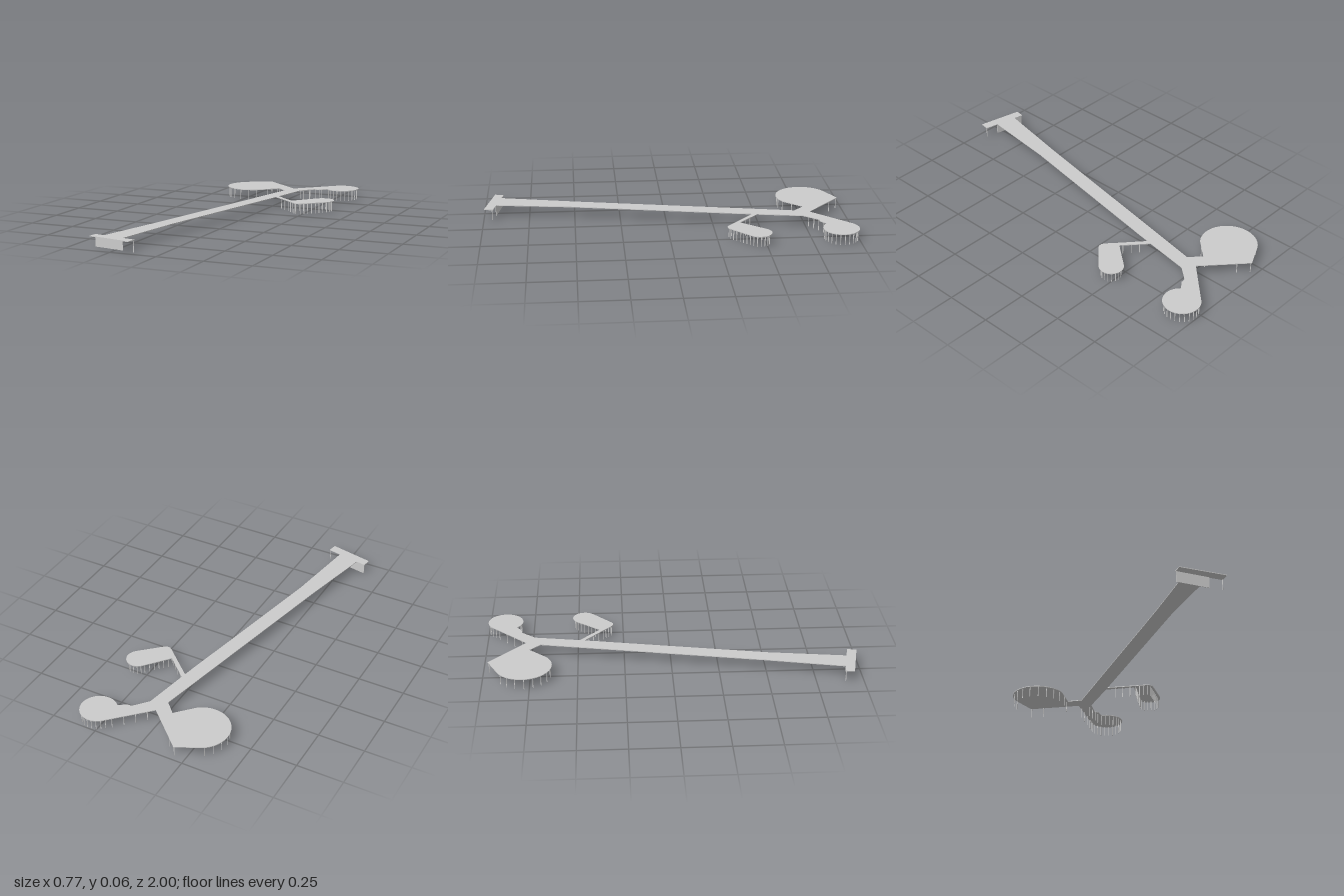
import * as THREE from 'three';

const TOP = 0.062, THICK = 0.004, UNDER = TOP - THICK;
const mat = new THREE.MeshStandardMaterial({ color: 0xcccccc, flatShading: true });

// Points [x, z] on an arc; angles in degrees, measured from +x towards +z
function arc(cx, cz, r, from, to, n) {
  return Array.from({ length: n + 1 }, (_, i) => {
    const a = THREE.MathUtils.degToRad(from + (to - from) * i / n);
    return [cx + r * Math.cos(a), cz + r * Math.sin(a)];
  });
}

// Points [x, z] evenly spaced on a line
function row(a, b, n) {
  return Array.from({ length: n }, (_, i) => {
    const t = n > 1 ? i / (n - 1) : 0.5;
    return [a[0] + (b[0] - a[0]) * t, a[1] + (b[1] - a[1]) * t];
  });
}

// Thin horizontal deck from a plan outline
function deck(name, outline) {
  const shape = new THREE.Shape(outline.map(([x, z]) => new THREE.Vector2(x, -z)));
  const geo = new THREE.ExtrudeGeometry(shape, { depth: THICK, bevelEnabled: false });
  geo.rotateX(-Math.PI / 2).translate(0, UNDER, 0);
  const mesh = new THREE.Mesh(geo, mat);
  mesh.name = name;
  return mesh;
}

// Slender piles from the ground to the underside of the deck
function piles(name, points) {
  const group = new THREE.Group();
  group.name = name;
  const geo = new THREE.CylinderGeometry(0.0022, 0.0022, UNDER, 6);
  for (const [x, z] of points) {
    const pile = new THREE.Mesh(geo, mat);
    pile.name = 'pile';
    pile.position.set(x, UNDER / 2, z);
    group.add(pile);
  }
  return group;
}

export function createModel() {
  const model = new THREE.Group();
  model.name = 'pier';

  // Long walkway, widening towards the landing
  model.add(deck('mainWalkway', [
    [0, -0.70], [0.025, -0.78], [0.085, -0.735], [0.042, -0.49], [0.036, -0.46],
    [0.025, -0.40], [-0.155, 0.52], [-0.213, 0.935], [-0.33, 0.911], [-0.24, 0.50],
  ]));

  // Landing crosspiece with its support wall and a single pile
  model.add(deck('landing', [[-0.383, 0.898], [-0.14, 0.948], [-0.149, 0.998], [-0.39, 0.947]]));
  const wall = new THREE.Mesh(new THREE.BoxGeometry(0.173, UNDER, 0.003), mat);
  wall.name = 'landingWall';
  wall.position.set(-0.296, UNDER / 2, 0.92);
  wall.rotation.y = -Math.atan2(0.032, 0.17);
  model.add(wall, piles('landingPile', [[-0.144, 0.953]]));

  // Large rounded platform
  model.add(deck('largePlatform', [
    [0.025, -0.78], [0, -0.70], [-0.06, -0.76],
    ...arc(-0.24, -0.785, 0.15, 53, 240, 28), [-0.19, -0.975],
  ]));
  model.add(piles('largePlatformPiles', [
    ...arc(-0.24, -0.785, 0.142, 60, 235, 9),
    [-0.19, -0.968], [-0.137, -0.92], [-0.113, -0.705], [-0.062, -0.77],
  ]));

  // Branch ending in a small round platform
  model.add(deck('roundPlatform', [
    [0.025, -0.78], ...arc(0.287, -0.905, 0.097, 219, 498, 32),
    [0.175, -0.81], [0.15, -0.81], [0.085, -0.735],
  ]));
  model.add(piles('roundPlatformPiles', [
    ...arc(0.287, -0.905, 0.088, 215, 500, 18),
    ...row([0.06, -0.805], [0.19, -0.935], 4),
    ...row([0.092, -0.765], [0.185, -0.83], 4),
  ]));

  // Narrow footbridge and oblong platform
  model.add(deck('footbridge', [[0.042, -0.49], [0.165, -0.38], [0.152, -0.363], [0.036, -0.465]]));
  model.add(deck('oblongPlatform', [
    [0.165, -0.38], ...arc(0.32, -0.465, 0.065, 225, 405, 16),
    [0.25, -0.312], [0.238, -0.306], [0.222, -0.305], [0.205, -0.315], [0.152, -0.363],
  ]));
  model.add(piles('oblongPlatformPiles', [
    ...row([0.078, -0.445], [0.142, -0.386], 3),
    ...row([0.165, -0.362], [0.215, -0.315], 4),
    ...row([0.185, -0.385], [0.27, -0.485], 6),
    ...arc(0.32, -0.465, 0.052, 225, 405, 8),
    ...row([0.24, -0.318], [0.34, -0.412], 7),
  ]));
  return model;
}
